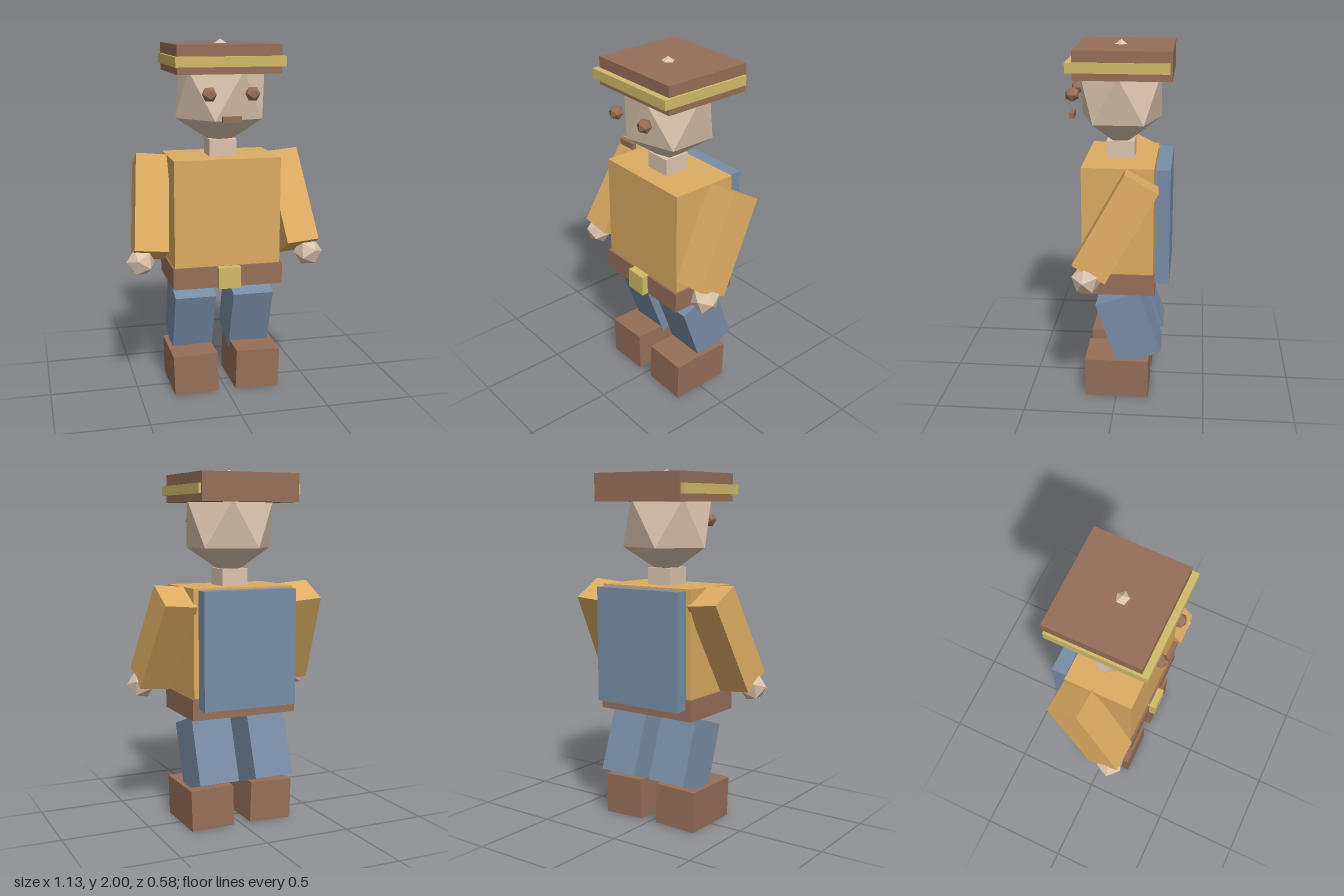
import * as THREE from 'three';

const mat = (name, color) => {
  const m = new THREE.MeshStandardMaterial({ color, flatShading: true });
  m.name = name;
  return m;
};

export function createModel() {
  const skin = mat('skin', 0xdcc4ae);
  const tan = mat('tan cloth', 0xdcab62);
  const blue = mat('blue cloth', 0x788da6);
  const brown = mat('brown leather', 0x966f59);
  const gold = mat('gold trim', 0xd0bb69);

  const model = new THREE.Group();
  model.name = 'blockFigure';

  const add = (name, geometry, material, position, rotation = [0, 0, 0]) => {
    const mesh = new THREE.Mesh(geometry, material);
    mesh.name = name;
    mesh.position.set(...position);
    mesh.rotation.set(...rotation);
    model.add(mesh);
    return mesh;
  };

  // box given by its width and its y and z ranges, centred on x
  const block = (name, material, w, y0, y1, z0, z1) =>
    add(name, new THREE.BoxGeometry(w, y1 - y0, z1 - z0), material, [0, (y0 + y1) / 2, (z0 + z1) / 2]);

  // trunk
  block('torso', tan, 0.6, 0.76, 1.36, -0.205, 0.186);
  block('belt', brown, 0.624, 0.64, 0.76, -0.214, 0.2);
  block('buckle', gold, 0.126, 0.64, 0.76, 0.19, 0.238);
  block('backpack', blue, 0.55, 0.7, 1.35, -0.292, -0.212);
  block('neck', skin, 0.154, 1.36, 1.455, -0.083, 0.072);

  // faceted head standing on a vertex, its tip poking through the cap
  const head = new THREE.IcosahedronGeometry(1, 0);
  head.rotateZ(-Math.atan2(2, 1 + Math.sqrt(5)));
  head.scale(0.285, 0.297, 0.261);
  add('head', head, skin, [0, 1.703, -0.005]);
  block('mouth', brown, 0.104, 1.57, 1.602, 0.255, 0.279);

  // flat cap with a band
  block('cap', brown, 0.572, 1.82, 1.975, -0.292, 0.228);
  block('capBand', gold, 0.6, 1.86, 1.914, -0.281, 0.264);

  // mirrored parts: s = 1 is the left side
  for (const s of [1, -1]) {
    const side = s > 0 ? 'left' : 'right';
    add(side + 'Eye', new THREE.IcosahedronGeometry(0.042, 0), brown, [s * 0.118, 1.718, 0.25]);
    add(side + 'Arm', new THREE.BoxGeometry(0.186, 0.56, 0.2), tan,
      [s * 0.405, 1.076, -0.008], [s > 0 ? -0.515 : -0.475, 0, s * 0.094]);
    add(side + 'Hand', new THREE.IcosahedronGeometry(0.082, 0), skin,
      [s * 0.484, 0.8, 0.14], [0.3, s * 0.4, s * 0.1]);
    add(side + 'Leg', new THREE.BoxGeometry(0.234, 0.383, 0.257), blue,
      [s * 0.169, 0.421, -0.068], [0.335, 0, 0]);
    add(side + 'Boot', new THREE.BoxGeometry(0.255, 0.232, 0.36), brown,
      [s * 0.181, 0.12, -0.004], [0, 0, s * -0.03]);
  }

  return model;
}
